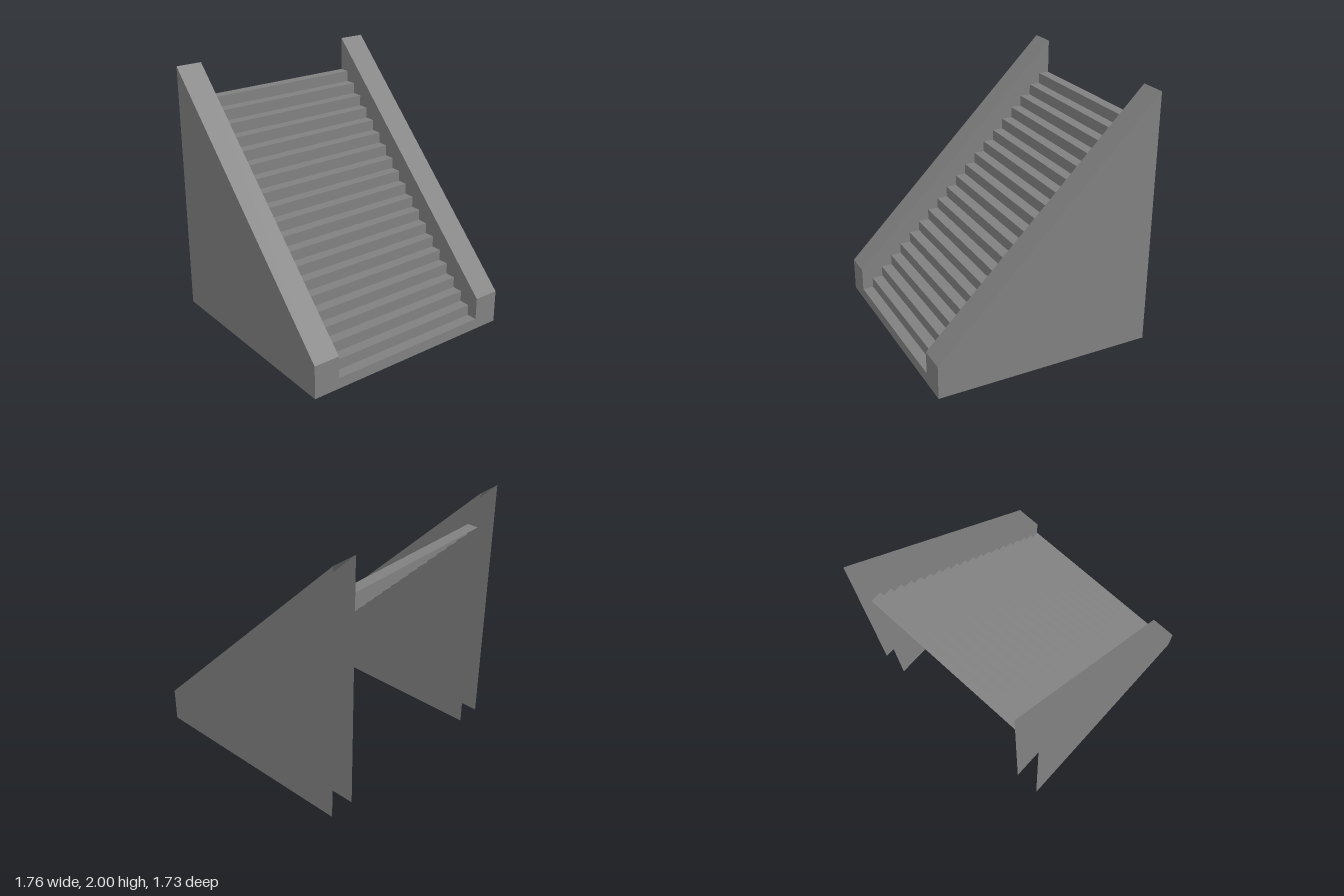
import * as THREE from 'three';

const STEPS = 20, DEPTH = 1.734, HALF = DEPTH / 2;
const STEP = DEPTH / STEPS;
const INNER = 0.672, OUTER = 0.88;
const CURB = 0.266;

// Sheet swept across x along a [z, y] profile, with hard folds
function sheet(profile, x0, x1) {
  const pos = [];
  for (let i = 0; i < profile.length - 1; i++) {
    const [za, ya] = profile[i], [zb, yb] = profile[i + 1];
    pos.push(x0, ya, za, x1, ya, za, x1, yb, zb);
    pos.push(x0, ya, za, x1, yb, zb, x0, yb, zb);
  }
  const g = new THREE.BufferGeometry();
  g.setAttribute('position', new THREE.Float32BufferAttribute(pos, 3));
  g.computeVertexNormals();
  return g;
}

// Flat wedge-shaped panel in the plane x, facing +x or -x
function panel(x, facing) {
  const shape = new THREE.Shape([[-HALF, 0], [HALF, 0], [HALF, 2], [-HALF, CURB]]
    .map(([u, v]) => new THREE.Vector2(facing * u, v)));
  return new THREE.ShapeGeometry(shape).rotateY(facing * Math.PI / 2).translate(x, 0, 0);
}

export function createModel() {
  const model = new THREE.Group();
  model.name = 'staircase';
  const concrete = new THREE.MeshStandardMaterial({ color: 0x808080, side: THREE.DoubleSide });
  concrete.name = 'grey concrete';

  const add = (parent, name, geometry) => {
    const mesh = new THREE.Mesh(geometry, concrete);
    mesh.name = name;
    parent.add(mesh);
  };

  // Folded flight of risers and treads, open underneath
  const flight = [[HALF, 0]];
  for (let i = 0; i < STEPS; i++) {
    const y = (i + 1) * STEP;
    flight.push([HALF - i * STEP, y], [HALF - (i + 1) * STEP, y]);
  }
  add(model, 'steps', sheet(flight, -INNER, INNER));

  // Hollow side walls, open at the back and bottom
  for (const side of [-1, 1]) {
    const wall = new THREE.Group();
    wall.name = side > 0 ? 'leftWall' : 'rightWall';
    add(wall, 'outerPanel', panel(side * OUTER, side));
    add(wall, 'innerPanel', panel(side * INNER, -side));
    const xs = [side * INNER, side * OUTER].sort((a, b) => a - b);
    add(wall, 'frontAndSlopedTop', sheet([[HALF, 0], [HALF, CURB], [-HALF, 2]], xs[0], xs[1]));
    model.add(wall);
  }
  return model;
}
